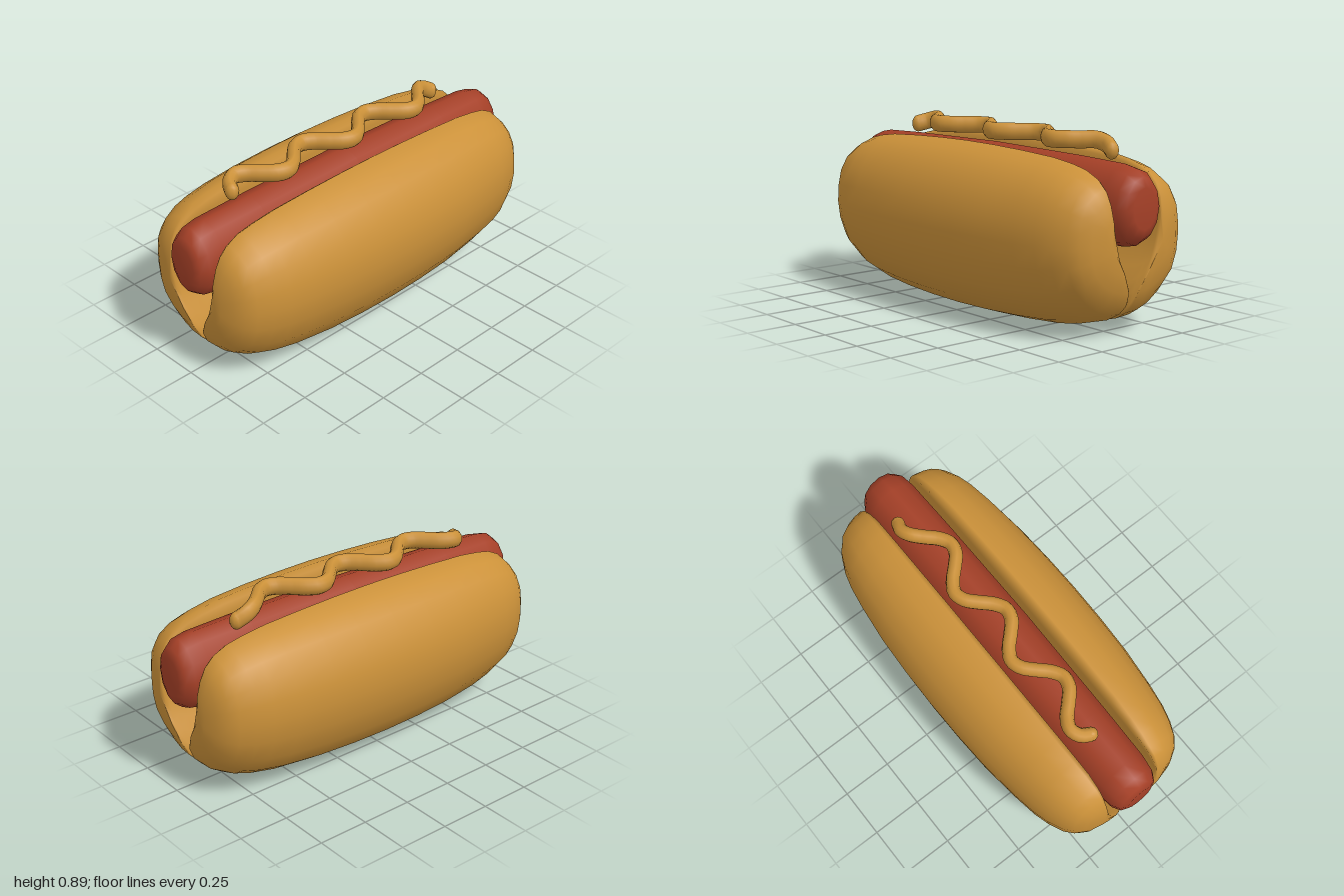
import * as THREE from 'three';

const bread = new THREE.MeshStandardMaterial({ color: 0xcb9139 });
bread.name = 'goldenBread';
const meat = new THREE.MeshStandardMaterial({ color: 0xa54027 });
meat.name = 'redSausage';

// Cut face of a bun half, [z, y] from bottom to top
const INNER = [[0.025, 0.02], [0.008, 0.1], [0.014, 0.19], [0.06, 0.28], [0.108, 0.37],
  [0.135, 0.47], [0.15, 0.57], [0.147, 0.66], [0.142, 0.74], [0.15, 0.795]];
// Crust, from top to bottom
const OUTER = [[0.175, 0.815], [0.27, 0.785], [0.345, 0.73], [0.405, 0.645], [0.44, 0.545],
  [0.452, 0.435], [0.435, 0.32], [0.395, 0.2], [0.325, 0.1], [0.24, 0.04], [0.15, 0.01], [0.04, 0.003]];
// Taper toward the ends: [x, height scale, thickness scale]
const TAPER = [[0, 1, 1], [0.2, 0.993, 0.99], [0.4, 0.975, 0.96], [0.6, 0.945, 0.89], [0.72, 0.9, 0.83],
  [0.8, 0.85, 0.76], [0.87, 0.76, 0.66], [0.91, 0.66, 0.55], [0.94, 0.51, 0.4], [0.958, 0.3, 0.2]];

// z of the cut face at height y
function cutZ(y) {
  for (let i = 1; i < INNER.length; i++) {
    const [z0, y0] = INNER[i - 1], [z1, y1] = INNER[i];
    if (y <= y1) return z0 + (z1 - z0) * Math.max(0, (y - y0) / (y1 - y0));
  }
  return INNER[INNER.length - 1][0];
}

// Loft the cross-section along x, keeping the cut face in place
function bunGeometry() {
  const section = [...INNER, ...OUTER], n = section.length, midY = 0.435;
  const stations = [...TAPER.slice(1).reverse().map(([x, h, t]) => [-x, h, t]), ...TAPER];
  const pos = [], index = [];
  for (const [x, h, t] of stations) {
    for (const [z, y] of section) {
      const ny = midY + (y - midY) * h;
      pos.push(x, ny, cutZ(ny) + (z - cutZ(y)) * t);
    }
  }
  for (let i = 0; i < stations.length - 1; i++) {
    for (let j = 0; j < n; j++) {
      const k = (j + 1) % n;
      const a = i * n + j, b = i * n + k, c = b + n, d = a + n;
      index.push(a, b, d, b, c, d);
    }
  }
  // Closed ends
  const last = (stations.length - 1) * n, left = pos.length / 3;
  pos.push(-0.963, midY, 0.155, 0.963, midY, 0.155);
  for (let j = 0; j < n; j++) {
    const k = (j + 1) % n;
    index.push(left, k, j, left + 1, last + j, last + k);
  }
  const geo = new THREE.BufferGeometry();
  geo.setAttribute('position', new THREE.Float32BufferAttribute(pos, 3));
  geo.setIndex(index);
  geo.computeVertexNormals();
  return geo;
}

function addMesh(parent, name, geo, material) {
  const mesh = new THREE.Mesh(geo, material);
  mesh.name = name;
  parent.add(mesh);
  return mesh;
}

export function createModel() {
  const group = new THREE.Group();
  group.name = 'hotDog';

  // Two bun halves, the back one turned around
  const bun = bunGeometry();
  addMesh(group, 'frontBunHalf', bun, bread);
  addMesh(group, 'backBunHalf', bun, bread).rotation.y = Math.PI;

  // Sausage: blunt lathe laid along x, taller than wide
  const half = [[0, 1], [0.46, 1], [0.68, 0.985], [0.84, 0.945], [0.91, 0.87], [0.955, 0.6], [1, 0]];
  const profile = [...half.map(([r, x]) => [r, -x]), ...half.slice(0, -1).reverse()]
    .map(([r, x]) => new THREE.Vector2(r, x));
  const sausage = new THREE.LatheGeometry(profile, 12);
  sausage.rotateZ(-Math.PI / 2);
  sausage.scale(1, 0.203, 0.15);
  sausage.translate(0, 0.595, 0);
  addMesh(group, 'sausage', sausage, meat);

  // Wavy sauce line with rounded ends
  const sauce = new THREE.Group();
  sauce.name = 'sauce';
  const path = [[-0.675, -0.02, -0.035], [-0.65, -0.01, -0.08], [-0.605, 0, -0.1]];
  for (let i = 1; i < 24; i++) {
    const x = -0.605 + i * 0.0525;
    path.push([x, 0, -0.035 - 0.07 * Math.cos((x + 0.615) / 0.42 * Math.PI * 2)]);
  }
  path.push([0.65, -0.012, -0.105], [0.695, -0.03, -0.092]);
  const points = path.map(([x, y, z]) => new THREE.Vector3(x, y, z));
  const curve = new THREE.CatmullRomCurve3(points);
  addMesh(sauce, 'sauceLine', new THREE.TubeGeometry(curve, 90, 0.033, 10), bread);
  for (const end of [points[0], points[points.length - 1]]) {
    addMesh(sauce, 'sauceEnd', new THREE.SphereGeometry(0.033, 10, 8), bread).position.copy(end);
  }
  sauce.scale.y = 1.3;
  sauce.position.y = 0.853;
  group.add(sauce);

  return group;
}
